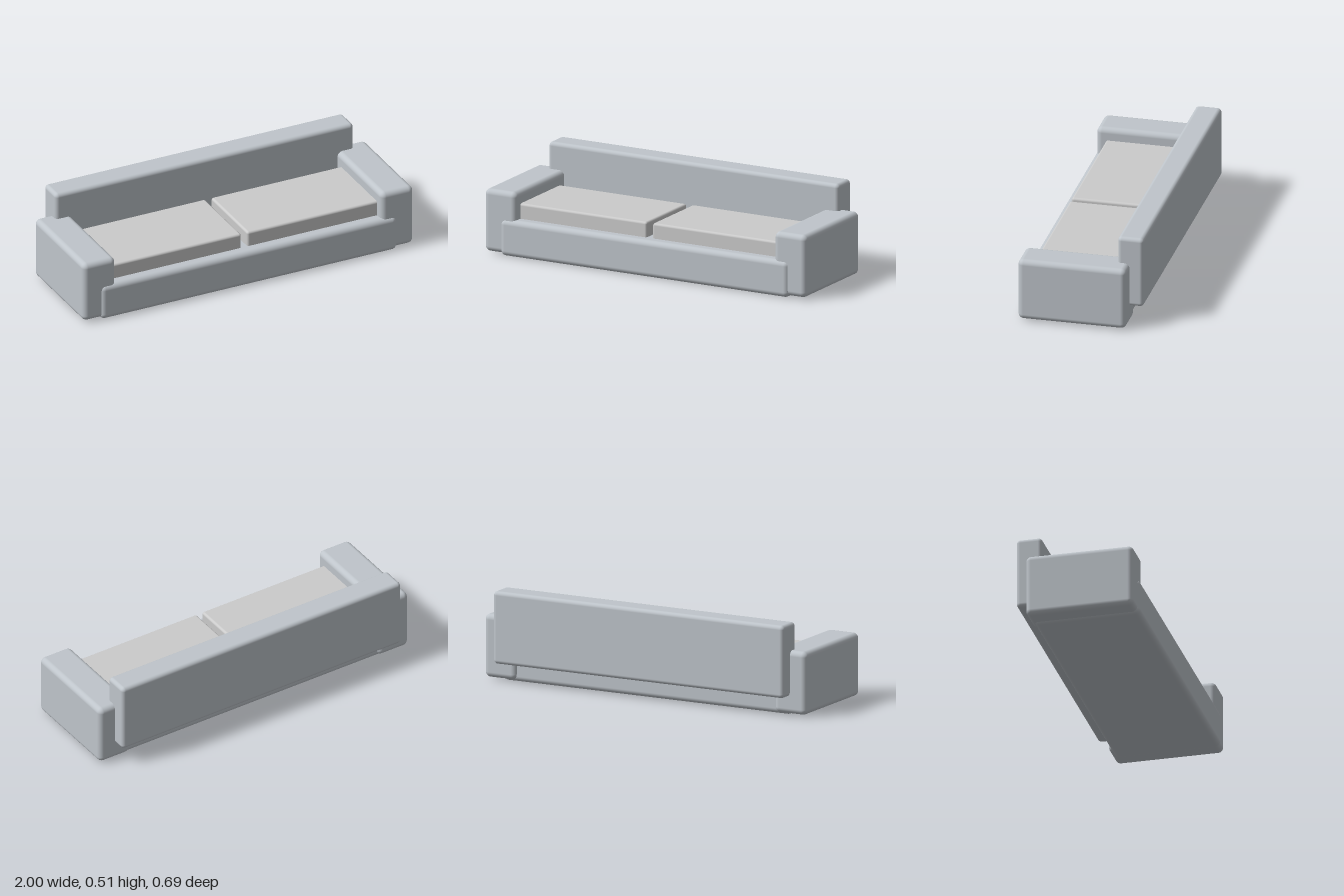
import * as THREE from 'three';
import { RoundedBoxGeometry } from 'three/addons/geometries/RoundedBoxGeometry.js';

const frameMaterial = new THREE.MeshStandardMaterial({ color: 0xbfc5cb });
const cushionMaterial = new THREE.MeshStandardMaterial({ color: 0xcccccc });

// Rounded block given by its extents on each axis
function block(name, [x0, x1], [y0, y1], [z0, z1], radius, material) {
  const geometry = new RoundedBoxGeometry(x1 - x0, y1 - y0, z1 - z0, 5, radius);
  const mesh = new THREE.Mesh(geometry, material);
  mesh.position.set((x0 + x1) / 2, (y0 + y1) / 2, (z0 + z1) / 2);
  mesh.name = name;
  return mesh;
}

export function createModel() {
  const sofa = new THREE.Group();
  sofa.name = 'sofa';

  // Low base and overhanging backrest
  sofa.add(block('base', [-0.897, 0.897], [0, 0.205], [-0.25, 0.344], 0.03, frameMaterial));
  sofa.add(block('backrest', [-0.902, 0.902], [0.108, 0.51], [-0.344, -0.2], 0.022, frameMaterial));

  // One armrest and one seat cushion per side
  for (const [side, s] of [['left', 1], ['right', -1]]) {
    const span = (a, b) => (s > 0 ? [a, b] : [-b, -a]);
    sofa.add(block(side + 'Armrest', span(0.803, 1), [0.01, 0.36], [-0.268, 0.333], 0.03, frameMaterial));
    sofa.add(block(side + 'SeatCushion', span(0.018, 0.83), [0.17, 0.29], [-0.163, 0.28], 0.013, cushionMaterial));
  }
  return sofa;
}
